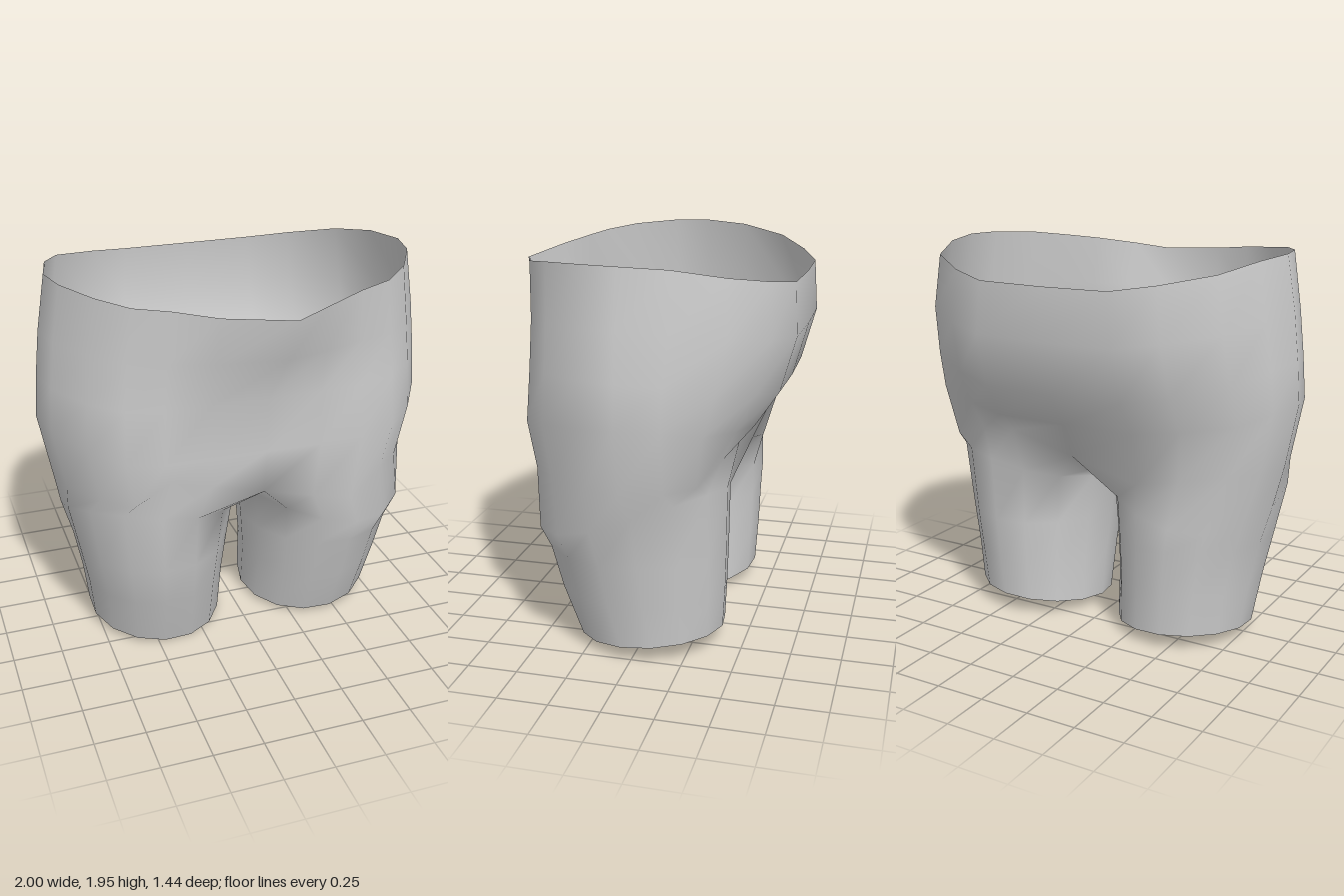
import * as THREE from 'three';

// Shorts: one smooth skin made of torso rings that split at the crotch into two leg rings.
export function createModel() {
  const pos = [], index = [];
  const add = (x, y, z) => pos.push(x, y, z) / 3 - 1;

  // Joins two closed rings, lower to upper; flip keeps mirrored rings facing outwards.
  const bridge = (low, up, flip) => {
    const n = low.length;
    for (let i = 0; i < n; i++) {
      const j = (i + 1) % n;
      const [a, b, c, d] = flip ? [low[j], low[i], up[i], up[j]] : [low[i], low[j], up[j], up[i]];
      index.push(a, b, c, a, c, d);
    }
  };

  // Half outline from front centre, round the hip, to back centre
  const ux = [0, 0.28, 0.5, 0.68, 0.83, 0.96, 1, 0.95, 0.84, 0.6, 0.38, 0];
  const uz = [1, 1, 0.99, 0.92, 0.69, 0.32, 0, -0.32, -0.65, -0.87, -0.99, -1];
  const belly = [1, 0.6, 0.12];
  const last = ux.length - 1, count = 2 * last;

  // Torso rows: front, side and back heights, half width, front and back depth,
  // belly bulge, roundness of the seat (lower is rounder)
  const rows = [
    [0.92, 0.92, 0.95, 0.94, 0.54, 0.45, 0, 0.72],
    [1.15, 1.24, 1.13, 1.0, 0.57, 0.53, 0, 0.85],
    [1.42, 1.45, 1.3, 0.985, 0.55, 0.645, 0.01, 1],
    [1.65, 1.68, 1.57, 0.96, 0.54, 0.72, 0.13, 1],
    [1.855, 1.955, 1.825, 0.915, 0.55, 0.705, 0.17, 1],
  ];
  const torso = rows.map(([yFront, ySide, yBack, w, front, back, bulge, round], r) => {
    const ring = [];
    for (let i = 0; i < count; i++) {
      const c = i <= last ? i : count - i;
      const u = uz[c];
      const x = w * ux[c] * (i <= last ? 1 : -1) + (c === 0 ? 0.5 * bulge : 0);
      const z = u > 0 ? u * front + bulge * (belly[c] ?? 0) : -back * Math.pow(-u, round);
      let y = ySide + ((u > 0 ? yFront : yBack) - ySide) * u * u;
      // Waist dips only towards the middle of the front
      if (r === 4 && u > 0) y = ySide - 0.1 * Math.pow(z / 0.72, 3);
      // Slanted folds under belly and seat
      if (r === 0 && c < 3) y = yFront - 0.26 * x;
      if (r === 0 && c > 8) y = yBack + (c === 9 ? 0.1 : 0.25) * x;
      ring.push(add(x, y, z));
    }
    return ring;
  });
  for (let r = 1; r < torso.length; r++) bridge(torso[r - 1], torso[r], false);

  // Crotch ridge, back to front
  const crotch = [[0.81, -0.12], [0.79, 0.03], [0.8, 0.16]].map(([y, z]) => add(0, y, z));

  // Leg rows: height, centre x, radius x, centre z, radius z
  const legRows = [
    [0.75, 0.468, 0.442, 0.055, 0.48],
    [0.52, 0.455, 0.4, 0.035, 0.455],
    [0.3, 0.444, 0.368, 0.012, 0.425],
    [0.05, 0.43, 0.35, -0.03, 0.37],
  ];
  const step = 2 * Math.PI / (last + 1 + crotch.length);
  for (const side of [1, -1]) {
    let upper = [];
    for (let i = 0; i <= last; i++) upper.push(torso[0][side > 0 ? i : (count - i) % count]);
    upper.push(...crotch);
    legRows.forEach(([y, cx, rx, cz, rz], r) => {
      const ring = upper.map((_, i) => {
        const a = (last / 2 - i) * step;
        const cos = Math.cos(a), sin = Math.sin(a);
        const x = side * (cx + rx * cos);
        let h = y;
        if (r === 0) h -= 0.2 * x * sin;                              // follows the folds
        if (r === 3) h += 0.02 * cos - 0.035 * sin + 0.01 * side;     // hem drops to the inner front
        return add(x, h, cz + rz * sin);
      });
      bridge(ring, upper, side < 0);
      upper = ring;
    });
  }

  const geometry = new THREE.BufferGeometry();
  geometry.setAttribute('position', new THREE.Float32BufferAttribute(pos, 3));
  geometry.setIndex(index);
  geometry.computeVertexNormals();

  const shorts = new THREE.Mesh(geometry,
    new THREE.MeshStandardMaterial({ color: 0xcccccc, side: THREE.DoubleSide }));
  shorts.name = 'shorts';
  const group = new THREE.Group();
  group.name = 'shortsModel';
  group.add(shorts);
  return group;
}
